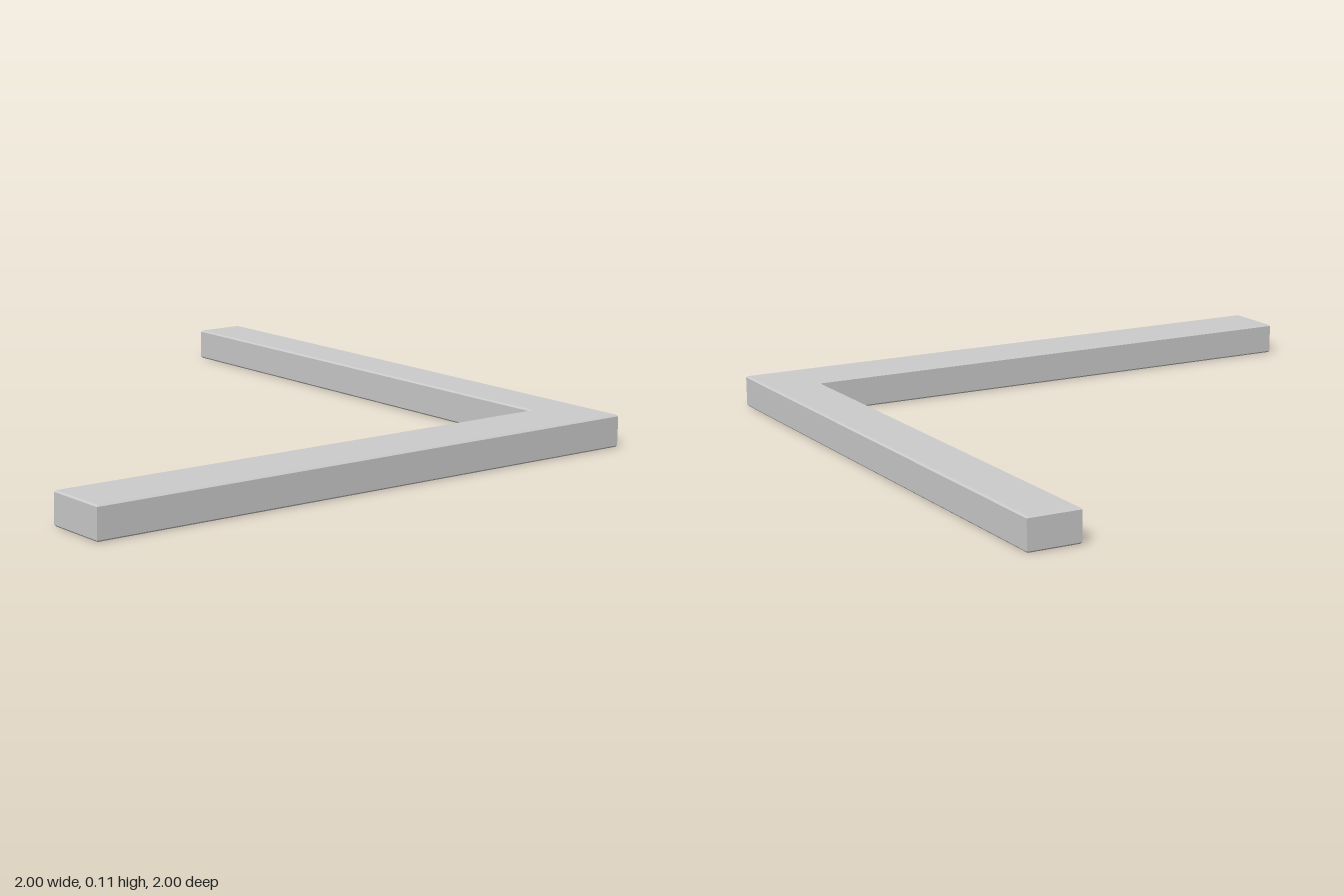
import * as THREE from 'three';

export function createModel() {
  const group = new THREE.Group();
  const height = 0.105, bevel = 0.005;
  const innerX = 0.785, innerZ = -0.825;

  // L-shaped plan: back arm along x, side arm along z (shape y is -z)
  const plan = new THREE.Shape([
    [-1, 1], [-1, -innerZ], [innerX, -innerZ], [innerX, -1], [1, -1], [1, 1],
  ].map(([x, y]) => new THREE.Vector2(x, y)));

  // Slightly eased edges all round
  const geometry = new THREE.ExtrudeGeometry(plan, {
    depth: height - 2 * bevel,
    bevelEnabled: true,
    bevelThickness: bevel,
    bevelSize: bevel,
    bevelOffset: -bevel,
    bevelSegments: 1,
  });
  geometry.translate(0, 0, bevel);
  geometry.rotateX(-Math.PI / 2);

  const frame = new THREE.Mesh(geometry, new THREE.MeshStandardMaterial({ color: 0xcccccc }));
  frame.name = 'cornerFrame';
  group.add(frame);
  return group;
}
